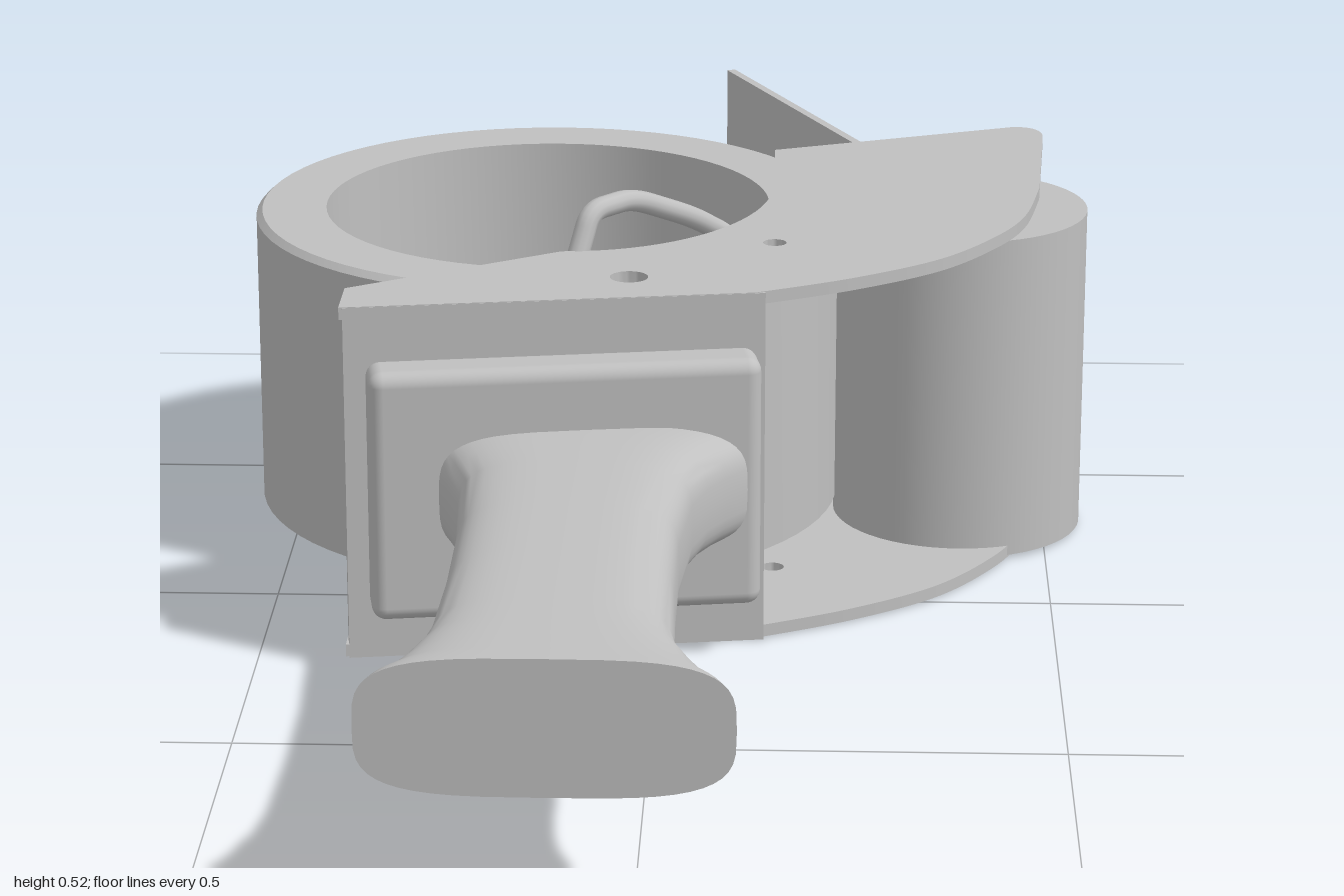
import * as THREE from 'three';
import { toCreasedNormals } from 'three/addons/utils/BufferGeometryUtils.js';
import { RoundedBoxGeometry } from 'three/addons/geometries/RoundedBoxGeometry.js';

const RING = { x: -0.165, z: -0.335, outer: 0.388, inner: 0.295 };

export function createModel() {
  const group = new THREE.Group();
  const grey = new THREE.MeshStandardMaterial({ color: 0xc0c0c0 });
  grey.name = 'grey';

  const add = (name, geometry, x = 0, y = 0, z = 0) => {
    const mesh = new THREE.Mesh(geometry, grey);
    mesh.name = name;
    mesh.position.set(x, y, z);
    group.add(mesh);
    return mesh;
  };

  // Upright sheet between two plan points (x, z)
  const sheet = (name, [x0, z0], [x1, z1], bottom, top, thickness) => {
    const length = Math.hypot(x1 - x0, z1 - z0);
    const mesh = add(name, new THREE.BoxGeometry(length, top - bottom, thickness),
      (x0 + x1) / 2, (bottom + top) / 2, (z0 + z1) / 2);
    mesh.rotation.y = -Math.atan2(z1 - z0, x1 - x0);
  };

  // Side plates: plan outline drawn with shape y = -z
  const plate = new THREE.Shape();
  plate.moveTo(-0.39, -0.14);
  plate.lineTo(-0.39, -0.22);
  plate.lineTo(0.12, -0.14);
  plate.splineThru([[0.24, -0.075], [0.35, 0.01], [0.425, 0.115], [0.465, 0.21], [0.488, 0.34]]
    .map(([x, y]) => new THREE.Vector2(x, y)));
  plate.lineTo(0.503, 0.6);
  plate.quadraticCurveTo(0.502, 0.645, 0.465, 0.645);
  plate.lineTo(0.135, 0.515);
  plate.lineTo(0.135, 0.33);
  plate.bezierCurveTo(0.132, 0.17, 0.02, 0.03, -0.13, 0.027);
  plate.closePath();
  for (const [x, y, r] of [[-0.04, -0.08, 0.024], [0.14, 0.075, 0.015]]) {
    plate.holes.push(new THREE.Path().absarc(x, y, r, 0, Math.PI * 2, true));
  }
  const plateGeometry = toCreasedNormals(
    new THREE.ExtrudeGeometry(plate, { depth: 0.016, bevelEnabled: false, curveSegments: 20 })
      .rotateX(-Math.PI / 2), 0.6);
  add('bottomPlate', plateGeometry, 0, 0.003, 0);
  add('topPlate', plateGeometry, 0, 0.445, 0);

  // Walls joining the plates, and the long tape flap
  sheet('handleWall', [-0.387, 0.211], [0.13, 0.13], 0.001, 0.46, 0.018);
  sheet('rearWall', [0.15, -0.503], [0.435, -0.605], 0.018, 0.446, 0.014);
  sheet('tapeFlap', [0.065, -0.998], [0.272, -0.555], 0.02, 0.447, 0.012);

  // Tape roll with a slightly chamfered upper rim
  const { outer, inner } = RING;
  const profile = [[inner, 0.04], [outer, 0.04], [outer, 0.427], [outer - 0.008, 0.435], [inner, 0.435], [inner, 0.04]]
    .map(([r, y]) => new THREE.Vector2(r, y));
  add('tapeRoll', toCreasedNormals(new THREE.LatheGeometry(profile, 72), 0.5), RING.x, 0, RING.z);

  // Guide roller
  add('guideRoller', new THREE.CylinderGeometry(0.166, 0.166, 0.435, 56), 0.385, 0.2235, -0.317);

  // Bent wire brake with a ball end
  const wire = [[-0.112, 0.445, -0.035], [-0.095, 0.505, -0.06], [-0.045, 0.505, -0.12],
    [0.03, 0.455, -0.21], [0.08, 0.41, -0.27], [0.085, 0.36, -0.28]].map((p) => new THREE.Vector3(...p));
  const path = new THREE.CurvePath();
  let from = wire[0];
  for (let i = 1; i < wire.length - 1; i++) {
    const before = wire[i].clone().lerp(wire[i - 1], 0.3);
    const after = wire[i].clone().lerp(wire[i + 1], 0.3);
    path.add(new THREE.LineCurve3(from, before));
    path.add(new THREE.QuadraticBezierCurve3(before, wire[i], after));
    from = after;
  }
  path.add(new THREE.LineCurve3(from, wire.at(-1)));
  add('brakeWire', new THREE.TubeGeometry(path, 64, 0.014, 12));
  add('brakeBall', new THREE.SphereGeometry(0.026, 20, 14), 0.085, 0.36, -0.28);

  // Padded block that carries the handle
  const mount = add('handleMount', new RoundedBoxGeometry(0.485, 0.322, 0.07, 4, 0.018), -0.115, 0.233, 0.211);
  mount.rotation.y = 0.16;

  // Grip: rounded sections [z, left edge, right edge], flared at both ends
  const sections = [[0.225, -0.275, 0.112], [0.26, -0.27, 0.088], [0.3, -0.255, 0.066], [0.36, -0.236, 0.048],
    [0.5, -0.228, 0.036], [0.66, -0.228, 0.036], [0.82, -0.234, 0.041], [0.87, -0.242, 0.05],
    [0.93, -0.262, 0.073], [0.965, -0.278, 0.09], [0.985, -0.297, 0.107], [1, -0.303, 0.114]];
  const sides = 48;
  const points = [];
  const faces = [];
  const power = (v) => Math.sign(v) * Math.abs(v) ** 0.55;
  for (const [z, x0, x1] of sections) {
    for (let i = 0; i < sides; i++) {
      const a = (i / sides) * Math.PI * 2;
      points.push((x0 + x1) / 2 + power(Math.cos(a)) * (x1 - x0) / 2, 0.233 + power(Math.sin(a)) * 0.081, z);
    }
  }
  for (let s = 0; s < sections.length - 1; s++) {
    for (let i = 0; i < sides; i++) {
      const a = s * sides + i;
      const b = s * sides + (i + 1) % sides;
      faces.push(a, b, b + sides, a, b + sides, a + sides);
    }
  }
  const last = (sections.length - 1) * sides;
  for (let i = 1; i < sides - 1; i++) {
    faces.push(0, i + 1, i, last, last + i, last + i + 1);
  }
  const grip = new THREE.BufferGeometry();
  grip.setAttribute('position', new THREE.Float32BufferAttribute(points, 3));
  grip.setIndex(faces);
  add('handle', toCreasedNormals(grip, 0.8));

  return group;
}
